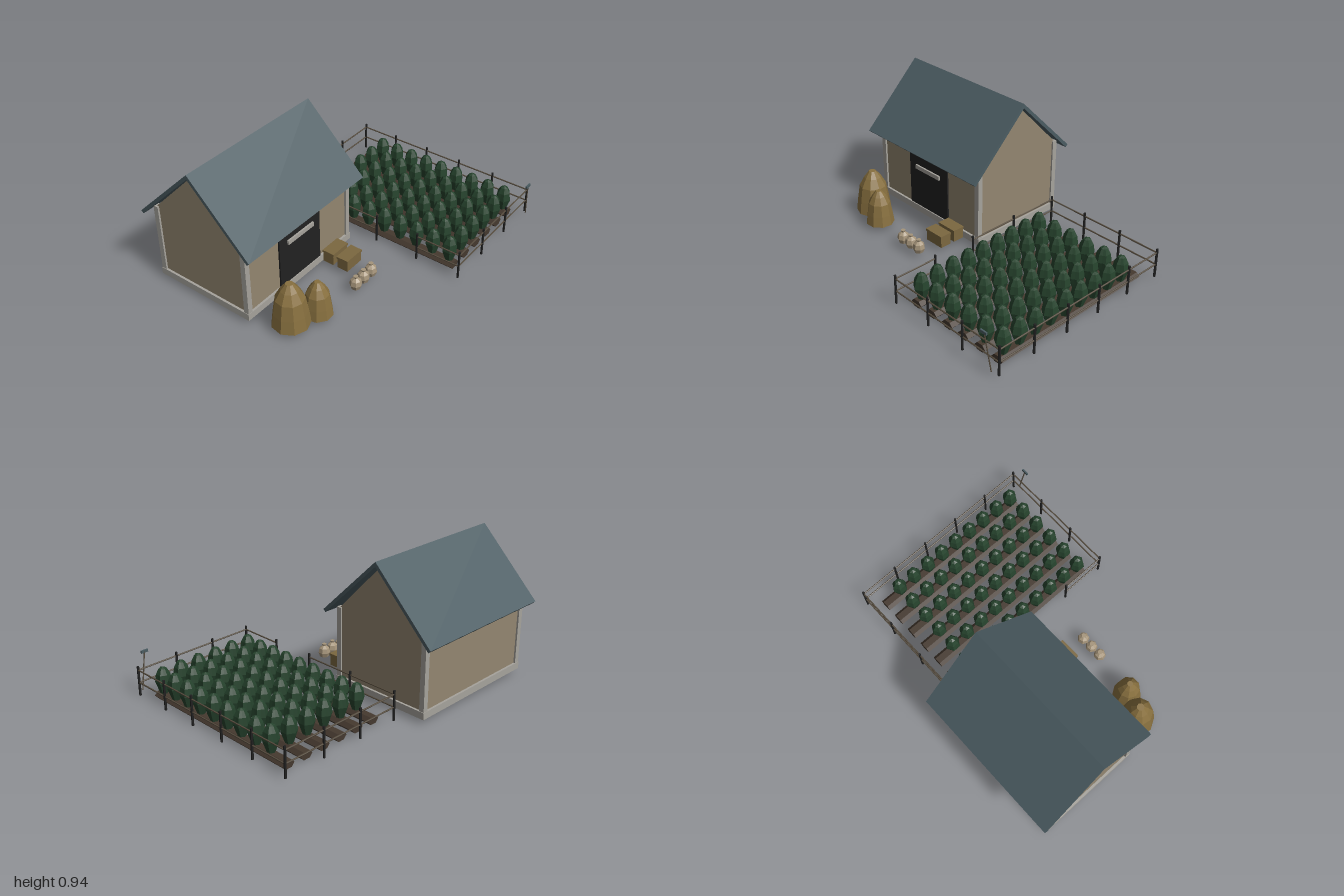
import * as THREE from 'three';

const mat = (name, color) => Object.assign(new THREE.MeshStandardMaterial({ color, flatShading: true }), { name });

export function createModel() {
  const root = new THREE.Group();
  root.name = 'farmstead';
  const M = {
    wall: mat('tan plaster', 0x938670),
    stone: mat('grey stone', 0xa6a39c),
    roof: mat('slate blue roof', 0x4b5c62),
    dark: mat('charcoal', 0x212121),
    plant: mat('leaf green', 0x26432d),
    soil: mat('brown soil', 0x45392f),
    straw: mat('straw', 0x88703f),
    crate: mat('crate wood', 0x7c6840),
    sack: mat('sackcloth', 0xa5947a),
    rail: mat('rail wood', 0x544a3c),
  };
  const group = (name, parent = root) => {
    const g = new THREE.Group();
    g.name = name;
    parent.add(g);
    return g;
  };
  const add = (parent, name, geo, material, x = 0, y = 0, z = 0) => {
    const m = new THREE.Mesh(geo, material);
    m.name = name;
    m.position.set(x, y, z);
    parent.add(m);
    return m;
  };
  // Box given by its limits on each axis
  const box = (parent, name, material, x0, x1, y0, y1, z0, z1) =>
    add(parent, name, new THREE.BoxGeometry(x1 - x0, y1 - y0, z1 - z0), material,
      (x0 + x1) / 2, (y0 + y1) / 2, (z0 + z1) / 2);
  // Outline of [z, y] points extruded along x
  const prism = (parent, name, material, pts, x0, x1) => {
    const shape = new THREE.Shape(pts.map(([z, y]) => new THREE.Vector2(-z, y)));
    const geo = new THREE.ExtrudeGeometry(shape, { depth: x1 - x0, bevelEnabled: false });
    return add(parent, name, geo.rotateY(Math.PI / 2), material, x0);
  };
  const lathe = (pts, sides) => new THREE.LatheGeometry(pts.map(p => new THREE.Vector2(...p)), sides);
  // Thin round bar between two points
  const bar = (parent, name, material, a, b, r) => {
    const A = new THREE.Vector3(...a), d = new THREE.Vector3(...b).sub(A);
    const m = add(parent, name, new THREE.CylinderGeometry(r, r, d.length(), 6), material);
    m.position.copy(A).addScaledVector(d, 0.5);
    m.quaternion.setFromUnitVectors(new THREE.Vector3(0, 1, 0), d.normalize());
    return m;
  };

  // Shed
  const shed = group('shed');
  box(shed, 'foundation', M.stone, -0.96, 0.018, 0.033, 0.08, -0.732, -0.012);
  prism(shed, 'gabledWalls', M.wall,
    [[-0.027, 0.08], [-0.027, 0.545], [-0.368, 0.906], [-0.717, 0.545], [-0.717, 0.08]], -0.945, 0.003);
  for (const x of [-0.957, -0.021])
    for (const z of [-0.729, -0.049])
      box(shed, 'cornerPost', M.stone, x, x + 0.035, 0.08, 0.552, z, z + 0.035);
  prism(shed, 'roof', M.roof,
    [[0.063, 0.525], [-0.363, 0.942], [-0.793, 0.514], [-0.777, 0.498], [-0.363, 0.911], [0.047, 0.509]], -1, 0.055);
  box(shed, 'door', M.dark, -0.66, -0.285, 0.083, 0.477, -0.03, -0.016);
  box(shed, 'doorBar', M.stone, -0.59, -0.355, 0.366, 0.395, -0.018, -0.004);

  // Hay stacks
  const hay = group('hayStacks');
  const stack = (r, h) => lathe([[0, 0], [r, 0], [r * 0.9, h * 0.3], [r * 0.76, h * 0.64],
    [r * 0.48, h * 0.85], [r * 0.2, h], [0, h]], 9);
  add(hay, 'largeHayStack', stack(0.12, 0.295), M.straw, -0.818, 0.035, 0.188);
  add(hay, 'smallHayStack', stack(0.095, 0.235), M.straw, -0.658, 0.035, 0.262).rotation.y = 0.4;

  // Sacks and crates
  const goods = group('goods');
  const sackGeo = lathe([[0, 0], [0.03, 0], [0.041, 0.03], [0.034, 0.06], [0.012, 0.077], [0.016, 0.09], [0, 0.09]], 7);
  for (let i = 0; i < 3; i++)
    add(goods, 'sack', sackGeo, M.sack, -0.35 + i * 0.078, 0.035, 0.31).rotation.y = i;
  for (const z of [0.033, 0.143]) {
    box(goods, 'crate', M.crate, -0.266, -0.124, 0.035, 0.105, z - 0.039, z + 0.039);
    box(goods, 'crateLid', M.crate, -0.27, -0.12, 0.105, 0.12, z - 0.043, z + 0.043);
  }

  // Planted rows: hexagonal soil ridges with folded leafy heads
  const field = group('field');
  const ridge = new THREE.CylinderGeometry(1, 1, 1.18, 6).rotateY(Math.PI / 6 * 3)
    .rotateX(Math.PI / 2).scale(0.0435, 0.028, 1);
  const head = lathe([[0, 0], [0.024, 0], [0.051, 0.083], [0.043, 0.135], [0.024, 0.172], [0, 0.182]], 12);
  const p = head.attributes.position;
  for (let i = 0; i < p.count; i++) {
    const fold = Math.floor(i / 6) % 2 ? 0.86 : 1.02;
    p.setX(i, p.getX(i) * fold);
    p.setZ(i, p.getZ(i) * fold);
  }
  for (let i = 0; i < 6; i++) {
    const x = 0.211 + i * 0.1364;
    add(field, 'soilRidge', ridge, M.soil, x, 0.0243, 0.08);
    for (let j = 0; j < 9; j++)
      add(field, 'plant', head, M.plant, x, 0.044, -0.37 + j * 0.1245);
  }

  // Fence with a gateway on the inner side
  const fence = group('fence');
  const X0 = 0.12, X1 = 0.99, Z0 = -0.59, Z1 = 0.748;
  const post = new THREE.CylinderGeometry(0.008, 0.008, 0.2, 6);
  const addPost = (x, z) => add(fence, 'fencePost', post, M.dark, x, 0.118, z);
  const rails = (a, b) => {
    for (const y of [0.108, 0.193])
      bar(fence, 'fenceRail', M.rail, [a[0], y, a[1]], [b[0], y, b[1]], 0.005);
  };
  for (const z of [Z0, Z1]) {
    for (let i = 0; i < 4; i++) addPost(X0 + i * 0.29, z);
    rails([X0, z], [X1, z]);
  }
  for (let i = 1; i < 5; i++) addPost(X1, Z0 + i * (Z1 - Z0) / 5);
  for (const z of [-0.23, 0.13, 0.44]) addPost(X0, z);
  rails([X1, Z0], [X1, Z1]);
  rails([X0, Z0], [X0, 0.13]);
  rails([X0, 0.44], [X0, Z1]);

  // Leaning hoe
  const hoe = group('hoe');
  bar(hoe, 'hoeHandle', M.rail, [0.955, 0.035, 0.772], [0.91, 0.285, 0.785], 0.004);
  box(hoe, 'hoeBlade', M.roof, 0.885, 0.933, 0.274, 0.292, 0.781, 0.792);

  return root;
}
